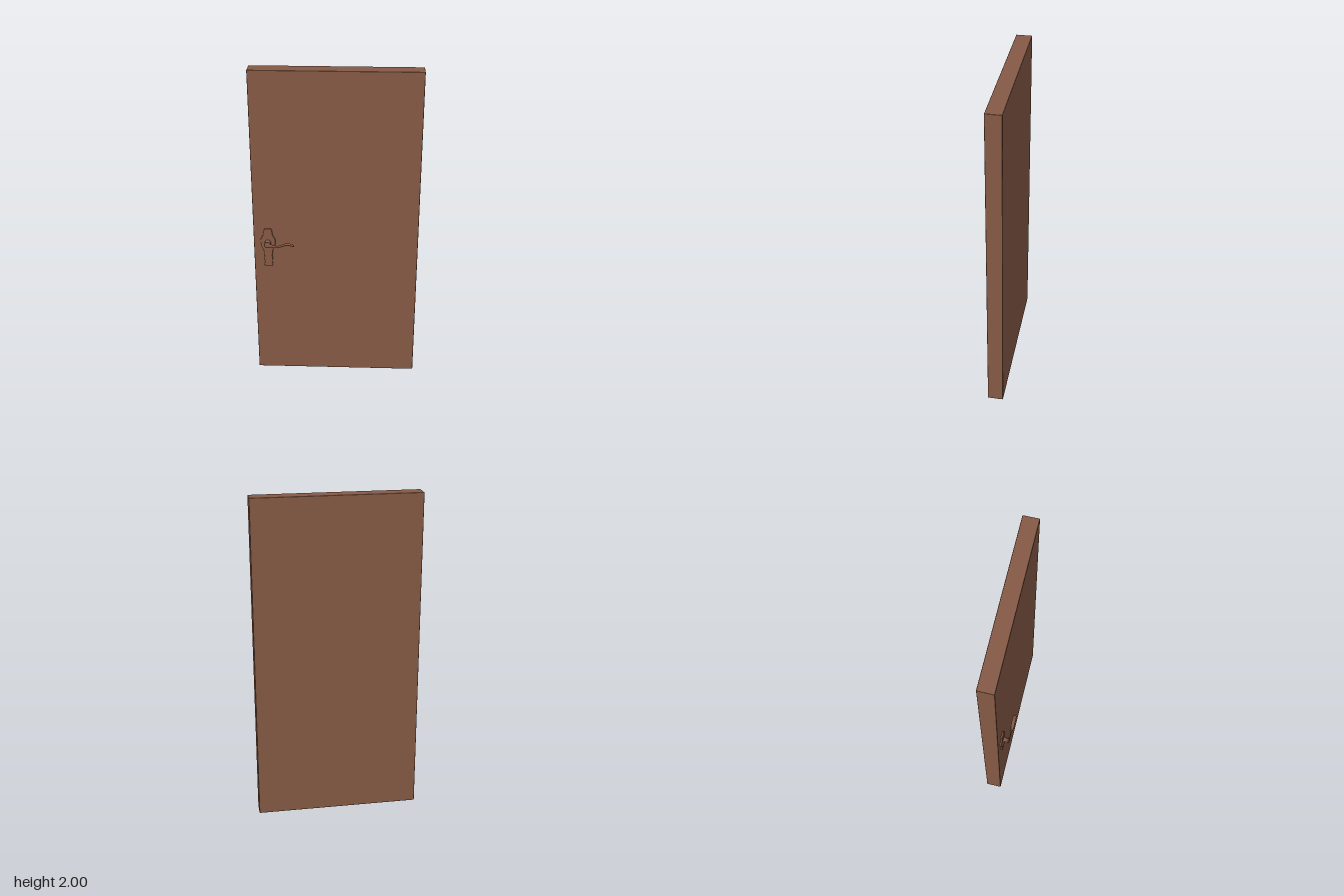
import * as THREE from 'three';
import { RoundedBoxGeometry } from 'three/addons/geometries/RoundedBoxGeometry.js';

const HANDLE_X = -0.413, HANDLE_Y = 0.92;

// Skin a row of elliptical rings [x, y, half height, half depth] running along x
function loftAlongX(rings, z, sides = 14) {
  const pos = [], index = [];
  for (const [x, y, h, d] of rings) {
    for (let i = 0; i < sides; i++) {
      const a = (i / sides) * Math.PI * 2;
      pos.push(x, y + Math.cos(a) * h, z + Math.sin(a) * d);
    }
  }
  for (let r = 0; r < rings.length - 1; r++) {
    for (let i = 0; i < sides; i++) {
      const a = r * sides + i, b = r * sides + (i + 1) % sides;
      index.push(a, b, a + sides, b, b + sides, a + sides);
    }
  }
  // end caps
  const last = (rings.length - 1) * sides;
  for (let i = 1; i < sides - 1; i++) {
    index.push(0, i + 1, i, last, last + i, last + i + 1);
  }
  const geo = new THREE.BufferGeometry();
  geo.setAttribute('position', new THREE.Float32BufferAttribute(pos, 3));
  geo.setIndex(index);
  geo.computeVertexNormals();
  return geo;
}

// Symmetrical ornamental outline, right half given as [half width, y] from the top down
function plateShape() {
  const half = [[0.022, 1.008], [0.027, 0.985], [0.031, 0.965], [0.043, 0.943],
    [0.045, 0.92], [0.041, 0.892], [0.029, 0.868], [0.027, 0.848], [0.023, 0.83],
    [0.026, 0.81], [0.023, 0.788], [0.026, 0.772], [0.024, 0.757]];
  const right = half.map(([x, y]) => new THREE.Vector2(x, y));
  const left = half.map(([x, y]) => new THREE.Vector2(-x, y)).reverse();
  const shape = new THREE.Shape();
  shape.moveTo(0, 1.013);
  shape.splineThru(right);
  shape.lineTo(left[0].x, left[0].y);
  shape.splineThru(left.slice(1));
  shape.lineTo(0, 1.013);
  return shape;
}

export function createModel() {
  const group = new THREE.Group();
  const wood = new THREE.MeshStandardMaterial({ color: 0x855a45 });
  const add = (name, geometry, parent = group) => {
    const mesh = new THREE.Mesh(geometry, wood);
    mesh.name = name;
    parent.add(mesh);
    return mesh;
  };

  // Door slab with slightly eased edges
  add('doorPanel', new RoundedBoxGeometry(1, 2, 0.095, 2, 0.004)).position.set(0, 1, -0.0275);

  const handle = new THREE.Group();
  handle.name = 'handle';
  group.add(handle);

  // Backplate
  add('backplate', new THREE.ExtrudeGeometry(plateShape(), {
    depth: 0.007, bevelEnabled: true, bevelThickness: 0.003, bevelSize: 0.003,
    bevelOffset: -0.003, bevelSegments: 2, curveSegments: 4,
  }), handle).position.set(HANDLE_X, 0, 0.02);

  // Turned neck between plate and lever, ending in a flat boss
  const profile = [[0, 0], [0.019, 0], [0.019, 0.006], [0.015, 0.009], [0.011, 0.022],
    [0.011, 0.028], [0.018, 0.03], [0.02, 0.032], [0.02, 0.036], [0.017, 0.038], [0, 0.038]];
  const neck = add('neck', new THREE.LatheGeometry(
    profile.map(([r, y]) => new THREE.Vector2(r, y)), 24), handle);
  neck.rotation.x = Math.PI / 2;
  neck.position.set(HANDLE_X, HANDLE_Y, 0.028);

  // Wavy lever: a thin stem swelling into a rounded grip
  const lever = [[-0.431, 0.918, 0.004, 0.002], [-0.425, 0.918, 0.009, 0.003],
    [-0.4, 0.917, 0.012, 0.003], [-0.375, 0.91, 0.009, 0.003], [-0.35, 0.909, 0.007, 0.004],
    [-0.335, 0.913, 0.006, 0.008], [-0.32, 0.919, 0.006, 0.011], [-0.3, 0.925, 0.006, 0.011],
    [-0.28, 0.926, 0.005, 0.011], [-0.262, 0.92, 0.005, 0.011],
    [-0.253, 0.917, 0.004, 0.009], [-0.25, 0.916, 0.002, 0.004]];
  add('lever', loftAlongX(lever, 0.064), handle);

  return group;
}
